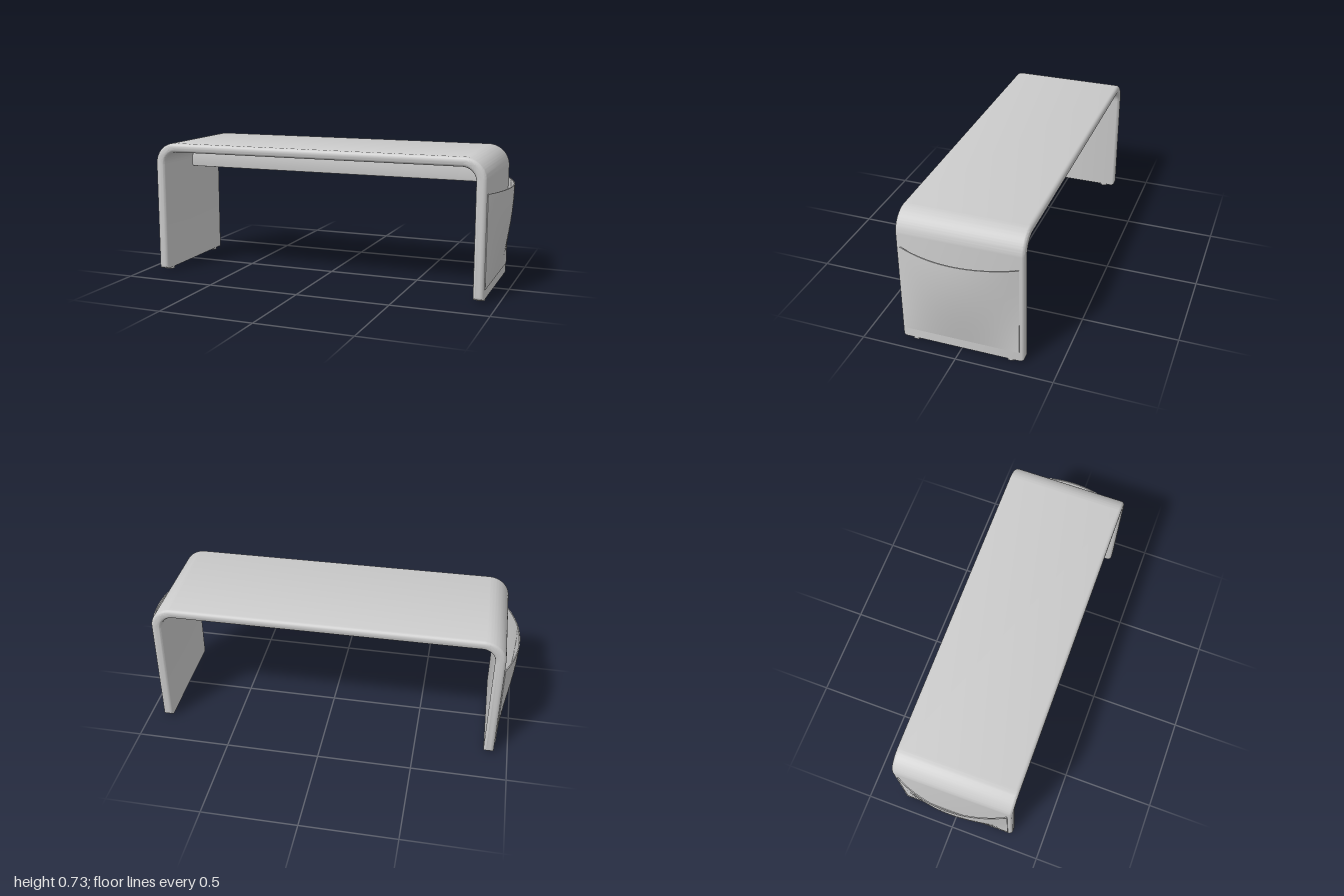
import * as THREE from 'three';
import { toCreasedNormals } from 'three/addons/utils/BufferGeometryUtils.js';

const material = new THREE.MeshStandardMaterial({ color: 0xcccccc, side: THREE.DoubleSide });

function addMesh(parent, geometry, name) {
  const mesh = new THREE.Mesh(geometry, material);
  mesh.name = name;
  parent.add(mesh);
  return mesh;
}

// Extrudes a shape along z, centred, with rounded edges that keep its outline size
function extrudeRounded(shape, depth, bevel) {
  const geometry = new THREE.ExtrudeGeometry(shape, {
    depth: depth - 2 * bevel, curveSegments: 14, bevelEnabled: true,
    bevelSize: bevel, bevelOffset: -bevel, bevelThickness: bevel, bevelSegments: 5,
  });
  geometry.translate(0, 0, -depth / 2 + bevel);
  return toCreasedNormals(geometry, 0.6);
}

const OUT = 0.925, IN = 0.87, TOP = 0.727, UNDER = 0.677, BASE = 0.012;
const R_OUT = 0.115, R_IN = 0.07;

// Waterfall bench body: seat and both side panels in one bent sheet
function bodyShape() {
  const s = new THREE.Shape();
  s.moveTo(-OUT, BASE);
  s.lineTo(-IN, BASE);
  s.lineTo(-IN, UNDER - R_IN);
  s.absarc(-IN + R_IN, UNDER - R_IN, R_IN, Math.PI, Math.PI / 2, true);
  s.absarc(IN - R_IN, UNDER - R_IN, R_IN, Math.PI / 2, 0, true);
  s.lineTo(IN, BASE);
  s.lineTo(OUT, BASE);
  s.absarc(OUT - R_OUT, TOP - R_OUT, R_OUT, 0, Math.PI / 2, false);
  s.absarc(-OUT + R_OUT, TOP - R_OUT, R_OUT, Math.PI / 2, Math.PI, false);
  s.closePath();
  return s;
}

// Rail under the seat, following the inner bend at its ends
function railShape() {
  const s = new THREE.Shape();
  const low = 0.562, r = 0.012;
  s.moveTo(-IN + r, low);
  s.lineTo(IN - r, low);
  s.quadraticCurveTo(IN, low, IN, low + r);
  s.absarc(IN - R_IN, UNDER - R_IN, R_IN, 0, Math.PI / 2, false);
  s.absarc(-IN + R_IN, UNDER - R_IN, R_IN, Math.PI / 2, Math.PI, false);
  s.lineTo(-IN, low + r);
  s.quadraticCurveTo(-IN, low, -IN + r, low);
  return s;
}

// Thin open-topped pocket, bulging outward toward its upper middle
function pocketGeometry() {
  const height = 0.482, width = 0.594, thick = 0.006;
  const geometry = new THREE.BoxGeometry(thick, height, width, 1, 24, 28);
  const p = geometry.attributes.position;
  for (let i = 0; i < p.count; i++) {
    const t = p.getY(i) / height + 0.5;
    const w = p.getZ(i) / (width / 2);
    const bulge = 0.071 * Math.sin(t * Math.PI / 2) * (1 - w * w);
    p.setX(i, p.getX(i) + OUT + 0.001 + bulge);
  }
  geometry.translate(0, 0.065 + height / 2, 0);
  return toCreasedNormals(geometry, 0.6);
}

export function createModel() {
  const model = new THREE.Group();
  model.name = 'bench';

  addMesh(model, extrudeRounded(bodyShape(), 0.644, 0.02), 'benchBody');
  addMesh(model, extrudeRounded(railShape(), 0.024, 0.002), 'underSeatRail');

  // Each end: side pocket and two small round feet
  const pocket = pocketGeometry();
  const foot = new THREE.CylinderGeometry(0.025, 0.025, 0.02, 24);
  for (const [name, angle] of [['leftEnd', 0], ['rightEnd', Math.PI]]) {
    const end = new THREE.Group();
    end.name = name;
    end.rotation.y = angle;
    addMesh(end, pocket, 'sidePocket');
    for (const z of [-0.25, 0.25]) {
      addMesh(end, foot, 'foot').position.set((IN + OUT) / 2, 0.01, z);
    }
    model.add(end);
  }

  // The bench stands very slightly turned
  model.rotation.y = 0.0076;
  return model;
}
